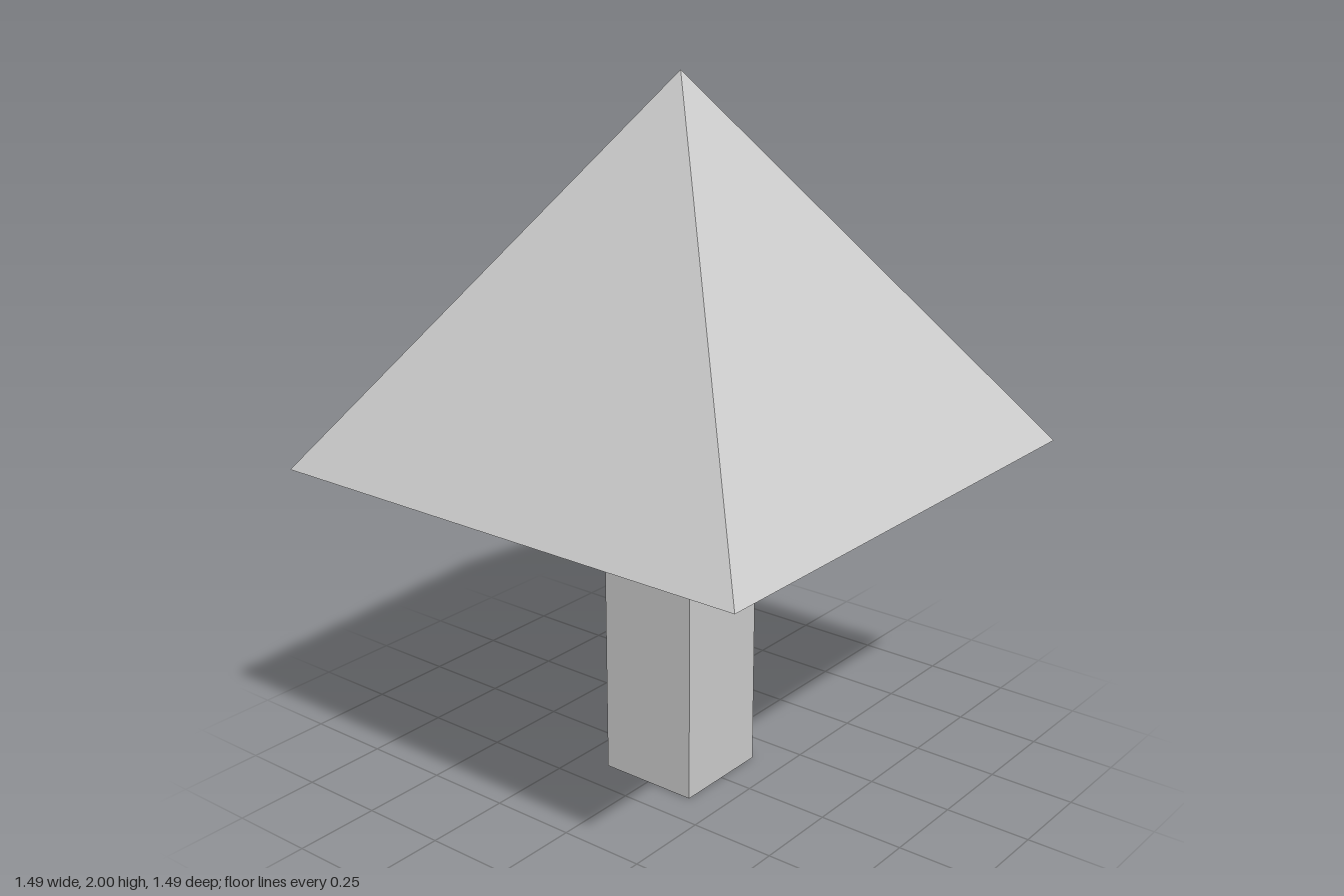
import * as THREE from 'three';

const HEIGHT = 2;
const EAVES = 0.952;      // height of the crown's underside
const CROWN_HALF = 0.747; // half width of the crown's square base
const TRUNK_WIDTH = 0.3;

export function createModel() {
  const model = new THREE.Group();
  model.name = 'tree';
  const material = new THREE.MeshStandardMaterial({ color: 0xcccccc, flatShading: true });

  const addPart = (name, geometry, bottom, height) => {
    const mesh = new THREE.Mesh(geometry, material);
    mesh.name = name;
    mesh.position.y = bottom + height / 2;
    model.add(mesh);
  };

  // Square trunk
  addPart('trunk', new THREE.BoxGeometry(TRUNK_WIDTH, EAVES, TRUNK_WIDTH), 0, EAVES);

  // Square pyramid crown, turned so its sides face the axes
  const crownHeight = HEIGHT - EAVES;
  const crown = new THREE.ConeGeometry(CROWN_HALF * Math.SQRT2, crownHeight, 4);
  crown.rotateY(Math.PI / 4);
  addPart('crown', crown, EAVES, crownHeight);

  return model;
}
